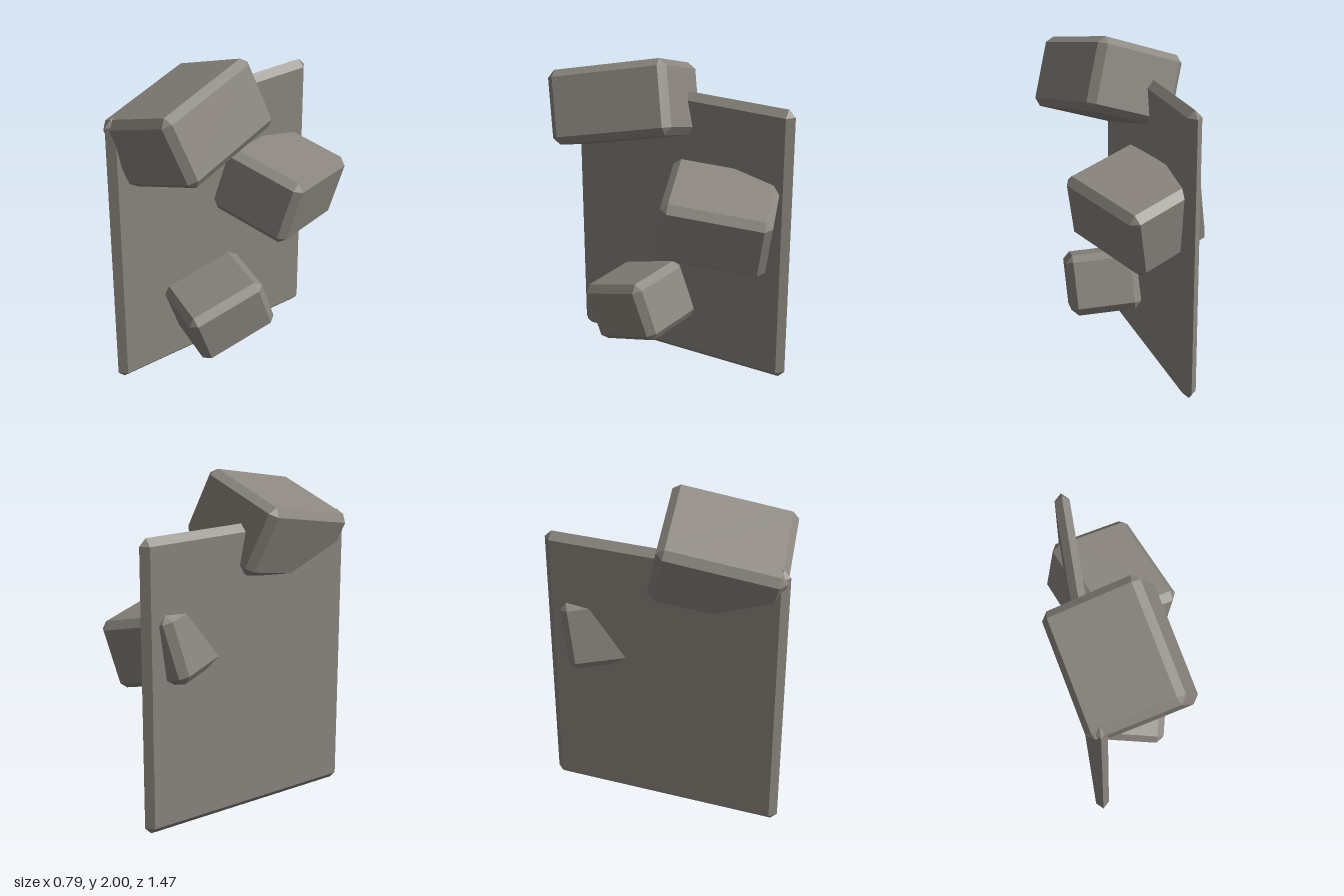
import * as THREE from 'three';
import { ConvexGeometry } from 'three/addons/geometries/ConvexGeometry.js';

const BEVEL = 0.042;

// Box with every edge and corner cut flat; half sizes include the bevel
function chamferedBox(hx, hy, hz, e = BEVEL) {
  const points = [];
  for (const sx of [-1, 1]) for (const sy of [-1, 1]) for (const sz of [-1, 1]) {
    points.push(
      new THREE.Vector3(sx * hx, sy * (hy - e), sz * (hz - e)),
      new THREE.Vector3(sx * (hx - e), sy * hy, sz * (hz - e)),
      new THREE.Vector3(sx * (hx - e), sy * (hy - e), sz * hz)
    );
  }
  return new ConvexGeometry(points);
}

export function createModel() {
  const group = new THREE.Group();
  const stone = new THREE.MeshStandardMaterial({ color: 0x8b867f, flatShading: true });
  stone.name = 'warm grey stone';

  // Upright slab
  const slab = new THREE.Mesh(chamferedBox(0.042, 0.865, 0.718, 0.0415), stone);
  slab.name = 'slab';
  slab.position.set(-0.186, 0.865, 0.02);
  group.add(slab);

  // Tilted blocks: side and depth give the local x and z directions
  const blocks = [
    { name: 'upperBlock', half: [0.287, 0.214, 0.362], at: [-0.012, 1.655, 0.305],
      side: [0.937, 0.326, -0.122], depth: [0.21, -0.2, 0.957] },
    { name: 'middleBlock', half: [0.257, 0.204, 0.318], at: [0.03, 1.085, -0.34],
      side: [0.909, -0.242, -0.339], depth: [0.352, 0.13, 0.927] },
    { name: 'lowerBlock', half: [0.212, 0.182, 0.249], at: [0.078, 0.435, 0.164],
      side: [0.976, -0.078, 0.202], depth: [-0.217, -0.337, 0.916] }
  ];
  for (const b of blocks) {
    const z = new THREE.Vector3(...b.depth).normalize();
    const y = z.clone().cross(new THREE.Vector3(...b.side)).normalize();
    const x = y.clone().cross(z);
    const mesh = new THREE.Mesh(chamferedBox(...b.half), stone);
    mesh.name = b.name;
    mesh.quaternion.setFromRotationMatrix(new THREE.Matrix4().makeBasis(x, y, z));
    mesh.position.set(...b.at);
    group.add(mesh);
  }
  return group;
}
